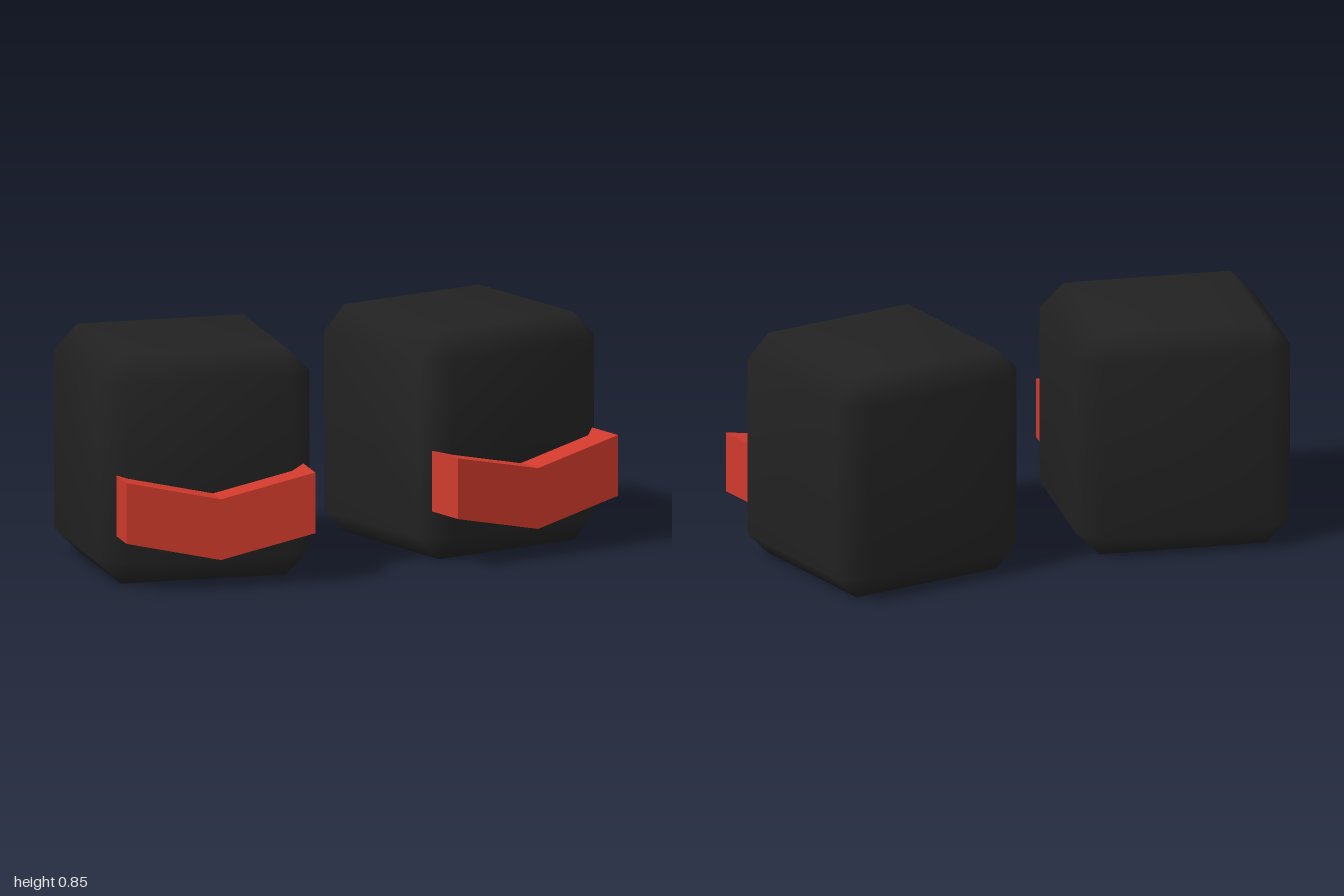
import * as THREE from 'three';
import { mergeVertices } from 'three/addons/utils/BufferGeometryUtils.js';
import { ConvexGeometry } from 'three/addons/geometries/ConvexGeometry.js';

const HEIGHT = 0.845, DEPTH = 0.778, BEVEL = 0.089;

// Block with one flat bevel on every edge, shaded smoothly across the bevels
function bevelledBlock(width, height, depth, bevel) {
  const half = [width / 2, height / 2, depth / 2];
  const points = [];
  for (const sx of [-1, 1]) for (const sy of [-1, 1]) for (const sz of [-1, 1]) {
    const sign = [sx, sy, sz];
    for (let axis = 0; axis < 3; axis++) {
      const p = half.map((h, i) => sign[i] * (i === axis ? h : h - bevel));
      points.push(new THREE.Vector3(...p));
    }
  }
  const hull = new ConvexGeometry(points);
  hull.deleteAttribute('normal');
  const geometry = mergeVertices(hull, 1e-4);
  geometry.computeVertexNormals();
  return geometry;
}

// Shallow V-shaped bar
function chevronBar(width, thickness, drop, depth) {
  const w = width / 2;
  const shape = new THREE.Shape([
    new THREE.Vector2(-w, 0),
    new THREE.Vector2(0, -drop),
    new THREE.Vector2(w, 0),
    new THREE.Vector2(w, thickness),
    new THREE.Vector2(0, thickness - drop),
    new THREE.Vector2(-w, thickness),
  ]);
  return new THREE.ExtrudeGeometry(shape, { depth, bevelEnabled: false });
}

export function createModel() {
  const black = new THREE.MeshStandardMaterial({ name: 'black', color: 0x222222 });
  const red = new THREE.MeshStandardMaterial({ name: 'red', color: 0xd03a2c });
  const model = new THREE.Group();
  model.name = 'blockPair';

  // Two blocks turned outward, each with a bar across its front
  const sides = [
    { name: 'left', x: 0.562, turn: 1, width: 0.78, barX: 0 },
    { name: 'right', x: -0.554, turn: -1, width: 0.8, barX: 0.012 },
  ];
  for (const { name, x, turn, width, barX } of sides) {
    const unit = new THREE.Group();
    unit.name = name + 'Unit';
    unit.position.set(x, 0, -0.06);
    unit.rotation.y = turn * THREE.MathUtils.degToRad(10);

    const block = new THREE.Mesh(bevelledBlock(width, HEIGHT, DEPTH, BEVEL), black);
    block.name = name + 'Block';
    block.position.y = HEIGHT / 2;

    const bar = new THREE.Mesh(chevronBar(0.712, 0.226, 0.08, 0.168), red);
    bar.name = name + 'Bar';
    bar.position.set(barX, 0.19, 0.33);

    unit.add(block, bar);
    model.add(unit);
  }
  return model;
}
